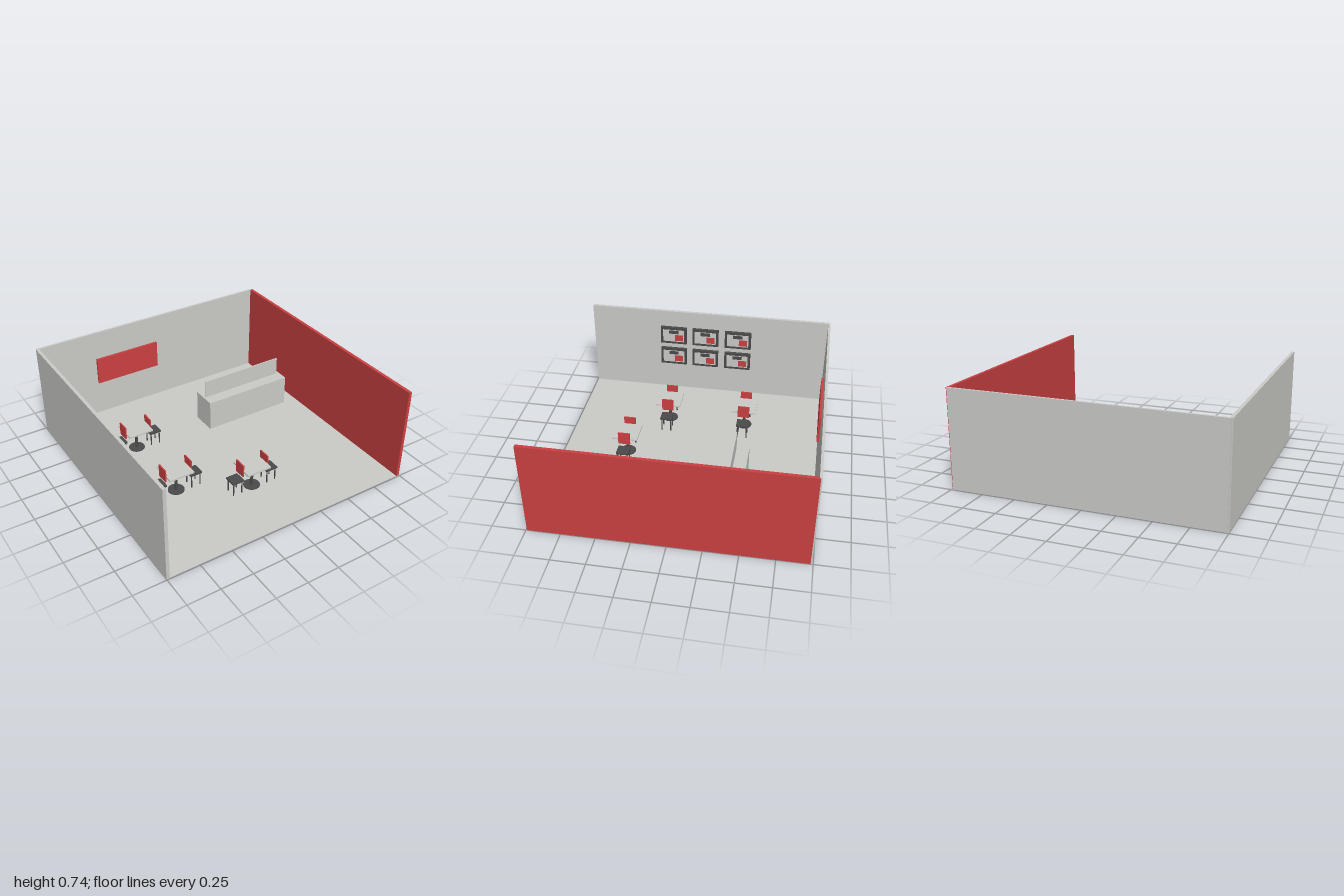
import * as THREE from 'three';

const material = (name, color) => {
  const m = new THREE.MeshStandardMaterial({ color });
  m.name = name;
  return m;
};

export function createModel() {
  const grey = material('paleGrey', 0xcbcbc8);
  const red = material('red', 0xcb4142);
  const dark = material('charcoal', 0x4a4a4a);
  const room = new THREE.Group();
  room.name = 'cafeRoom';

  // Box given by its minimum and maximum corner
  const box = (parent, name, mat, [x0, y0, z0], [x1, y1, z1]) => {
    const mesh = new THREE.Mesh(new THREE.BoxGeometry(x1 - x0, y1 - y0, z1 - z0), mat);
    mesh.position.set((x0 + x1) / 2, (y0 + y1) / 2, (z0 + z1) / 2);
    mesh.name = name;
    parent.add(mesh);
    return mesh;
  };
  const cylinder = (parent, name, mat, r, y0, y1, x = 0, z = 0, sides = 24) => {
    const mesh = new THREE.Mesh(new THREE.CylinderGeometry(r, r, y1 - y0, sides), mat);
    mesh.position.set(x, (y0 + y1) / 2, z);
    mesh.name = name;
    parent.add(mesh);
  };
  const group = (name, x, y, z) => {
    const g = new THREE.Group();
    g.name = name;
    g.position.set(x, y, z);
    room.add(g);
    return g;
  };

  // Shell of the room, open at the front and on top
  box(room, 'floor', grey, [-0.998, 0, -0.992], [0.992, 0.003, 0.992]);
  box(room, 'rightWall', grey, [-1, 0.001, -0.983], [-0.975, 0.74, 0.993]);
  box(room, 'leftWall', red, [0.975, 0.001, -0.983], [1, 0.74, 0.993]);
  box(room, 'backWall', grey, [-0.99, 0.001, -0.993], [0.99, 0.741, -0.975]);
  box(room, 'wallBoard', red, [-0.52, 0.29, -0.975], [0.025, 0.51, -0.957]);

  // Serving counter with an upright screen
  box(room, 'counter', grey, [0.12, 0.003, -0.47], [0.86, 0.25, -0.27]);
  box(room, 'counterScreen', grey, [0.14, 0.25, -0.375], [0.835, 0.395, -0.365]);

  // Tables, each with a pair of chairs
  for (const [x, z] of [[-0.5, -0.368], [-0.5, 0.25], [0, 0.497]]) {
    const set = group('tableSet', x, 0, z);
    box(set, 'tableTop', grey, [-0.1, 0.18, -0.098], [0.1, 0.192, 0.098]);
    cylinder(set, 'tablePost', dark, 0.011, 0.008, 0.18);
    cylinder(set, 'tableBase', dark, 0.062, 0.001, 0.009, 0, 0, 32);
    for (const side of [-1, 1]) {
      const chair = new THREE.Group();
      chair.name = 'chair';
      chair.position.x = side * 0.147;
      set.add(chair);
      box(chair, 'seat', dark, [-0.048, 0.108, -0.048], [0.048, 0.12, 0.048]);
      const back = box(chair, 'backrest', red, [-0.005, 0.15, -0.046], [0.005, 0.25, 0.046]);
      back.position.x = -side * 0.041;
      for (const lx of [-0.036, 0.036])
        for (const lz of [-0.036, 0.036])
          cylinder(chair, 'chairLeg', dark, 0.005, 0.001, 0.108, lx, lz, 8);
    }
  }

  // Two rows of framed pictures on the side wall
  for (const y of [0.325, 0.525]) {
    for (const z of [-0.245, 0.03, 0.3]) {
      const frame = group('pictureFrame', -0.975, y, z);
      box(frame, 'frame', dark, [0, -0.075, -0.11], [0.026, 0.075, 0.11]);
      box(frame, 'picture', grey, [0.026, -0.055, -0.09], [0.028, 0.055, 0.09]);
      box(frame, 'pictureRedPatch', red, [0.028, -0.045, -0.08], [0.03, 0.01, -0.01]);
      box(frame, 'pictureDarkPatch', dark, [0.028, 0.02, -0.04], [0.03, 0.05, 0.04]);
    }
  }
  return room;
}
